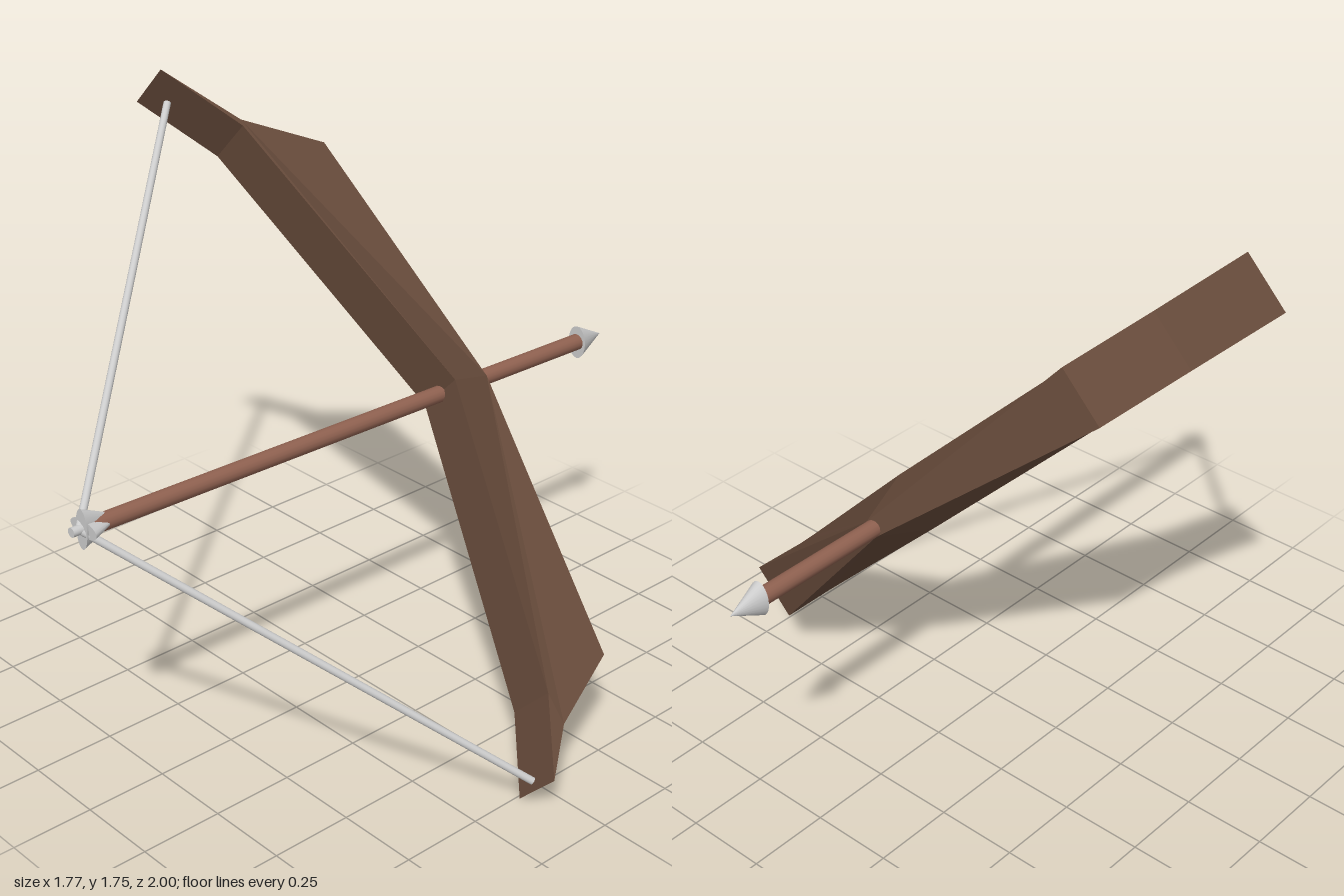
import * as THREE from 'three';

const wood = new THREE.MeshStandardMaterial({ color: 0x664a3a, flatShading: true });
const shaftWood = new THREE.MeshStandardMaterial({ color: 0x8f6150 });
const grey = new THREE.MeshStandardMaterial({ color: 0xcccccc });

// Flat-sided solid from an outline of [x, z, halfHeight] points.
function slab(outline) {
  const n = outline.length;
  const pos = [];
  for (const side of [-1, 1]) for (const [x, z, h] of outline) pos.push(x, side * h, z);
  const index = [];
  const flat = outline.map(([x, z]) => new THREE.Vector2(x, z));
  for (const [a, b, c] of THREE.ShapeUtils.triangulateShape(flat, [])) {
    index.push(a, b, c, n + c, n + b, n + a);
  }
  for (let i = 0; i < n; i++) {
    const j = (i + 1) % n;
    index.push(i, j, n + j, i, n + j, n + i);
  }
  const geo = new THREE.BufferGeometry();
  geo.setAttribute('position', new THREE.Float32BufferAttribute(pos, 3));
  geo.setIndex(index);
  const out = geo.toNonIndexed();
  out.computeVertexNormals();
  return out;
}

function add(parent, name, geometry, material) {
  const mesh = new THREE.Mesh(geometry, material);
  mesh.name = name;
  parent.add(mesh);
  return mesh;
}

// Round rod between two points.
function rod(parent, name, a, b, radius, material) {
  const dir = b.clone().sub(a);
  const mesh = add(parent, name, new THREE.CylinderGeometry(radius, radius, dir.length(), 16), material);
  mesh.position.copy(a).add(b).multiplyScalar(0.5);
  mesh.quaternion.setFromUnitVectors(new THREE.Vector3(0, 1, 0), dir.normalize());
  return mesh;
}

// Flattened cone along z: tip at zTip, base at zBase.
function flatCone(parent, name, rx, ry, zTip, zBase, x, y) {
  const geo = new THREE.ConeGeometry(1, 1, 24);
  geo.rotateX(zTip > zBase ? Math.PI / 2 : -Math.PI / 2);
  geo.scale(rx, ry, Math.abs(zTip - zBase));
  const mesh = add(parent, name, geo, grey);
  mesh.position.set(x, y, (zTip + zBase) / 2);
  return mesh;
}

export function createModel() {
  const model = new THREE.Group();
  model.name = 'bowAndArrow';
  const v = (x, y, z) => new THREE.Vector3(x, y, z);

  // Bow limbs: inner edge left to right, then back edge, narrowing at the grip
  const w = 0.0885;
  const bow = add(model, 'bowLimbs', slab([
    [-1.155, 0.085, w], [-0.92, -0.08, w], [0.02, -0.31, w], [0.94, -0.045, w], [1.155, 0.085, w],
    [1.035, -0.04, w], [0.92, -0.29, w], [0.03, -0.48, 0.025], [-0.8, -0.32, w], [-0.94, -0.085, w],
  ]), wood);
  bow.position.y = 0.876;
  bow.rotation.z = -0.779;

  // Drawn string
  const nockPoint = v(0, 0.875, 0.975);
  rod(model, 'upperString', v(-0.775, 1.64, 0.055), nockPoint, 0.011, grey);
  rod(model, 'lowerString', v(0.805, 0.085, 0.085), nockPoint, 0.011, grey);

  // Arrow
  const arrow = new THREE.Group();
  arrow.name = 'arrow';
  model.add(arrow);
  rod(arrow, 'shaft', v(0.002, 0.873, 0.95), v(0.022, 0.853, -0.91), 0.0255, shaftWood);
  flatCone(arrow, 'arrowHead', 0.034, 0.053, -1, -0.895, 0.023, 0.852);

  // Crossed fletching and nock
  flatCone(arrow, 'fletchingWide', 0.058, 0.025, 0.84, 0.962, 0.001, 0.873);
  flatCone(arrow, 'fletchingTall', 0.025, 0.06, 0.84, 0.968, 0.001, 0.873);
  rod(arrow, 'nock', v(0, 0.874, 0.94), v(0, 0.875, 1), 0.014, grey);

  return model;
}
